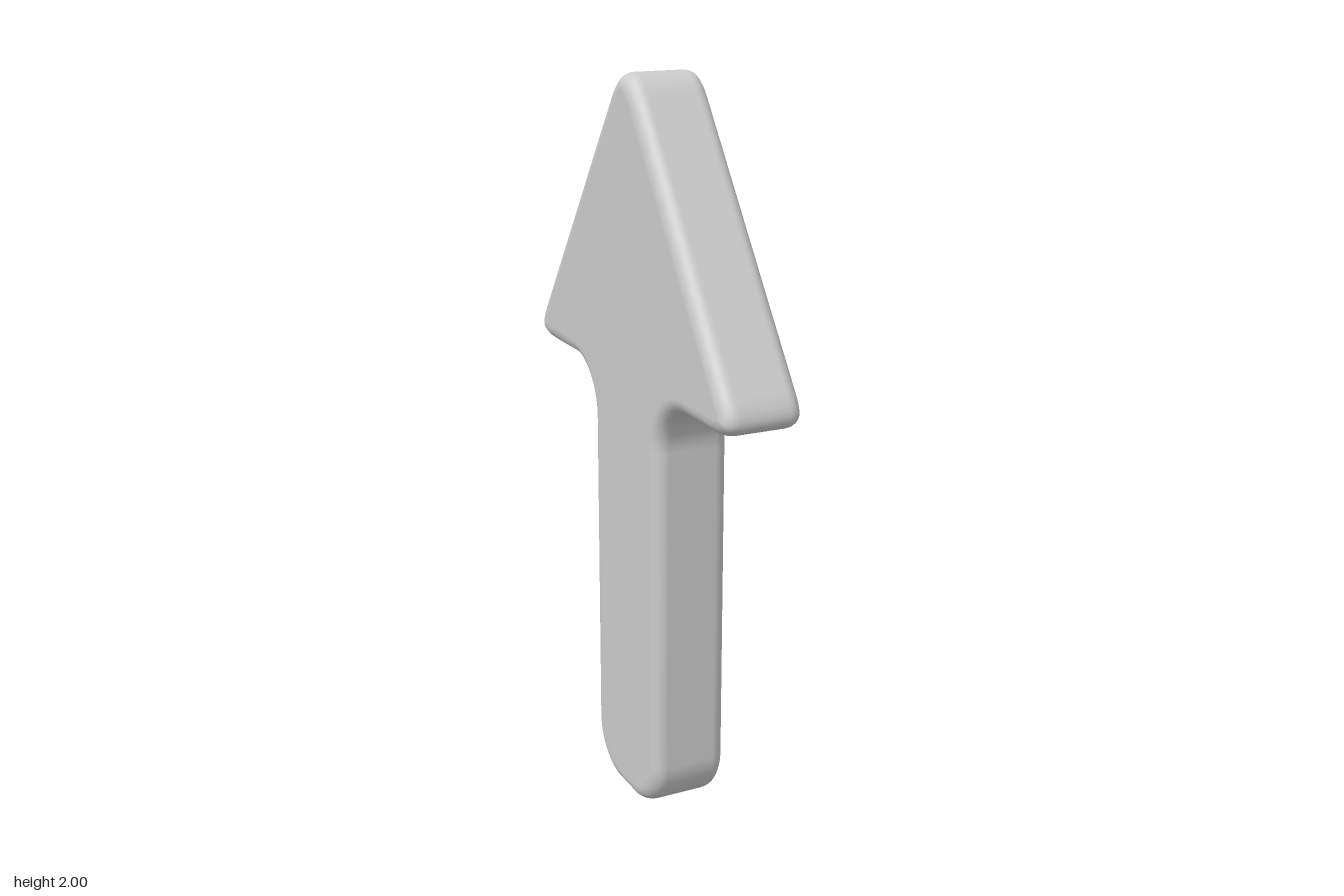
import * as THREE from 'three';
import { mergeVertices } from 'three/addons/utils/BufferGeometryUtils.js';

export function createModel() {
  const group = new THREE.Group();
  group.name = 'arrow';
  const material = new THREE.MeshStandardMaterial({ color: 0xcccccc });

  const shaft = 0.197; // half width of the shaft
  const foot = 0.155; // corner radius at the foot
  const fillet = 0.14; // radius where shaft meets head
  const headY = 1.2;
  const halfThick = 0.108;
  const bevel = 0.04;

  // Right half of the outline, from foot to tip
  const half = new THREE.Path();
  half.moveTo(0, 0);
  half.absarc(shaft - foot, foot, foot, -Math.PI / 2, 0, false);
  half.absarc(shaft + fillet, headY - fillet, fillet, Math.PI, Math.PI / 2, true);
  half.lineTo(0.49, headY);
  half.quadraticCurveTo(0.622, headY, 0.548, 1.302);
  half.lineTo(0.08, 1.945);
  half.quadraticCurveTo(0, 2.055, 0, 2.055);
  const right = half.getPoints(12).filter((p) => p.y <= 1.9451);

  // Rounded tip, up to the centre line
  const tip = new THREE.QuadraticBezierCurve(
    new THREE.Vector2(0.08, 1.945), new THREE.Vector2(0, 2.055), new THREE.Vector2(-0.08, 1.945));
  right.push(...tip.getPoints(20).slice(1, 11));

  // Mirror to the other side, leaving out the two centre points
  const left = right.slice(1, -1).reverse().map((p) => new THREE.Vector2(-p.x, p.y));
  const outline = new THREE.Shape([...right, ...left]);

  // Pillowed slab with a rounded rim
  let geometry = new THREE.ExtrudeGeometry(outline, {
    depth: 2 * (halfThick - bevel),
    bevelEnabled: true,
    bevelThickness: bevel,
    bevelSize: bevel,
    bevelOffset: -bevel,
    bevelSegments: 6,
  });
  geometry.translate(0, 0, -(halfThick - bevel));
  geometry.rotateY(Math.PI / 2);

  // Weld for smooth shading
  geometry.deleteAttribute('uv');
  geometry.deleteAttribute('normal');
  geometry = mergeVertices(geometry, 1e-4);
  geometry.computeVertexNormals();

  const body = new THREE.Mesh(geometry, material);
  body.name = 'arrowBody';
  group.add(body);
  return group;
}
